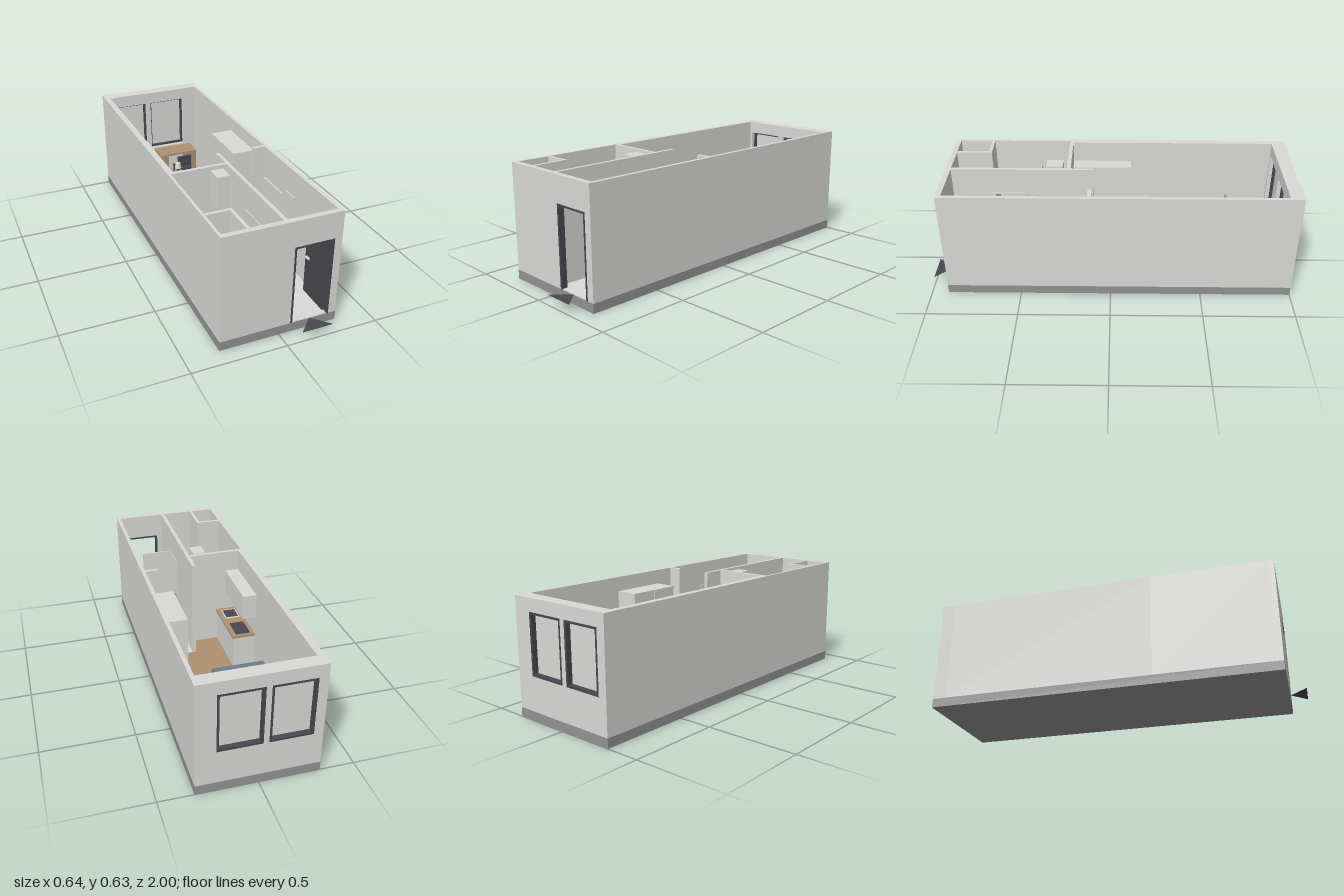
import * as THREE from 'three';

const mat = (name, color) => {
  const m = new THREE.MeshStandardMaterial({ color, side: THREE.DoubleSide });
  m.name = name;
  return m;
};

export function createModel() {
  const root = new THREE.Group();
  root.name = 'smallApartment';
  const white = mat('wallWhite', 0xd9d9d7);
  const grey = mat('concreteGrey', 0x929292);
  const dark = mat('anthracite', 0x48484e);
  const wood = mat('oakWood', 0xad9170);
  const blue = mat('blanketBlue', 0x6f7d8b);

  const add = (name, geo, m) => {
    const mesh = new THREE.Mesh(geo, m);
    mesh.name = name;
    root.add(mesh);
    return mesh;
  };
  // Box given by its limits on each axis
  const box = (name, m, x0, x1, y0, y1, z0, z1) => {
    const b = add(name, new THREE.BoxGeometry(x1 - x0, y1 - y0, z1 - z0), m);
    b.position.set((x0 + x1) / 2, (y0 + y1) / 2, (z0 + z1) / 2);
    return b;
  };
  const cyl = (name, m, r0, r1, h, x, y, z) => {
    const c = add(name, new THREE.CylinderGeometry(r0, r1, h, 20), m);
    c.position.set(x, y, z);
    return c;
  };
  // End wall with rectangular openings [x0, x1, y0, y1]
  const endWall = (name, z0, z1, openings) => {
    const rect = (P, x0, x1, y0, y1) => {
      const p = new P();
      p.moveTo(x0, y0).lineTo(x1, y0).lineTo(x1, y1).lineTo(x0, y1).closePath();
      return p;
    };
    const s = rect(THREE.Shape, -0.317, 0.317, 0.05, H);
    openings.forEach(o => s.holes.push(rect(THREE.Path, ...o)));
    const g = new THREE.ExtrudeGeometry(s, { depth: z1 - z0, bevelEnabled: false });
    add(name, g, white).position.z = z0;
  };
  // Rectangular frame; the bottom rail is optional
  const frame = (name, m, [x0, x1, y0, y1], z0, z1, t, sill) => {
    box(name + 'Jamb', m, x0, x0 + t, y0, y1, z0, z1);
    box(name + 'Jamb', m, x1 - t, x1, y0, y1, z0, z1);
    box(name + 'Head', m, x0 + t, x1 - t, y1 - t, y1, z0, z1);
    if (sill) box(name + 'Sill', m, x0 + t, x1 - t, y0, y0 + t, z0, z1);
  };
  const H = 0.63, F = 0.053; // wall top, floor level

  // Base slab and floor coverings
  box('baseSlab', grey, -0.318, 0.318, 0, 0.05, -1, 0.908);
  box('woodFloor', wood, -0.284, 0.297, 0.05, F, -0.928, 0.10);
  box('kitchenFloor', wood, -0.284, 0.01, 0.05, F, 0.10, 0.224);
  box('hallFloor', white, 0.01, 0.297, 0.05, F, 0.10, 0.904);
  box('bathroomFloor', grey, -0.303, 0.01, 0.05, F, 0.24, 0.88);

  // Outer walls
  const door = [0.062, 0.275, 0.05, 0.487];
  const windows = [[-0.268, -0.044, 0.235, 0.56], [-0.016, 0.213, 0.235, 0.56]];
  endWall('frontWall', 0.878, 0.907, [[0.062, 0.275, 0.051, 0.487]]);
  endWall('backWall', -1, -0.926, windows);
  box('rightLongWall', white, 0.296, 0.317, 0.05, H, -0.926, 0.878);
  box('leftLongWall', white, -0.317, -0.283, 0.05, H, -0.926, 0.243);
  box('bathroomOuterWall', white, -0.317, -0.302, 0.05, H, 0.243, 0.878);

  // Windows
  for (const w of windows) {
    frame('window', dark, w, -1.0, -0.95, 0.012, true);
    box('windowPane', white, w[0] + 0.01, w[1] - 0.01, w[2] + 0.01, w[3] - 0.01, -0.972, -0.966);
  }

  // Entrance door standing open, and entrance arrow
  frame('entranceDoor', dark, door, 0.876, 0.909, 0.01, false);
  box('entranceDoorLeaf', dark, 0.256, 0.265, F, 0.477, 0.69, 0.88);
  box('entranceDoorHandle', white, 0.243, 0.256, 0.267, 0.274, 0.705, 0.735);
  const tri = new THREE.Shape();
  tri.moveTo(0.167, -0.909).lineTo(0.08, -0.998).lineTo(0.252, -0.998).closePath();
  const arrow = add('entranceArrow', new THREE.ShapeGeometry(tri), dark);
  arrow.rotation.x = -Math.PI / 2;
  arrow.position.y = 0.053;

  // Inner partitions, with a doorway to the bathroom
  box('kitchenPartition', white, -0.283, 0.01, 0.05, H, 0.222, 0.243);
  box('hallPartition', white, 0.01, 0.03, 0.05, H, 0.10, 0.47);
  box('hallPartition', white, 0.01, 0.03, 0.05, H, 0.66, 0.878);
  box('doorwayHeader', white, 0.01, 0.03, 0.485, H, 0.47, 0.66);
  box('hallStubWall', white, 0.225, 0.296, 0.05, H, 0.10, 0.121);
  for (const z of [0.468, 0.652]) box('bathroomDoorJamb', white, 0.006, 0.034, F, 0.485, z, z + 0.01);
  box('bathroomDoorHead', white, 0.006, 0.034, 0.475, 0.485, 0.478, 0.652);
  box('bathroomDoorLeaf', white, 0.03, 0.204, F, 0.475, 0.644, 0.652);
  for (const z of [0.635, 0.652]) box('bathroomDoorHandle', white, 0.168, 0.192, 0.267, 0.273, z, z + 0.009);

  // Service shaft
  box('shaftSideWall', white, -0.178, -0.16, 0.05, H, 0.68, 0.878);
  box('shaftEndWall', white, -0.302, -0.178, 0.05, H, 0.68, 0.698);
  box('shaftFloor', dark, -0.302, -0.178, F, 0.06, 0.698, 0.878);

  // Hall furniture
  box('shoeCabinet', white, 0.232, 0.293, F, 0.267, 0.14, 0.343);
  box('coatRail', white, 0.286, 0.296, 0.44, 0.45, 0.14, 0.343);
  box('hallMirror', white, 0.290, 0.296, 0.20, 0.487, 0.38, 0.48);

  // Wardrobe with two doors
  box('wardrobe', white, 0.174, 0.296, F, 0.55, -0.33, -0.013);
  for (const z of [-0.33, -0.17]) {
    box('wardrobeDoor', white, 0.169, 0.174, 0.065, 0.55, z, z + 0.157);
  }
  for (const z of [-0.186, -0.162]) box('wardrobeHandle', dark, 0.165, 0.169, 0.27, 0.32, z, z + 0.004);

  // Bed
  box('headboard', wood, -0.283, 0.016, F, 0.28, -0.696, -0.682);
  box('bedFrame', wood, -0.281, 0.014, 0.07, 0.115, -0.682, -0.262);
  for (const x of [-0.275, -0.007]) for (const z of [-0.67, -0.285]) box('bedLeg', wood, x, x + 0.015, F, 0.07, z, z + 0.015);
  box('mattress', white, -0.279, 0.012, 0.115, 0.162, -0.682, -0.264);
  box('blanket', blue, -0.283, 0.016, 0.105, 0.168, -0.55, -0.259);
  for (const x of [-0.262, -0.119]) box('pillow', white, x, x + 0.117, 0.162, 0.182, -0.665, -0.605);

  // Bedside table and lamp
  box('bedsideTable', wood, 0.026, 0.103, F, 0.16, -0.685, -0.60);
  cyl('lampBase', dark, 0.012, 0.014, 0.006, 0.065, 0.163, -0.644);
  cyl('lampStem', dark, 0.003, 0.003, 0.04, 0.065, 0.184, -0.644);
  cyl('lampShade', white, 0.016, 0.022, 0.035, 0.065, 0.215, -0.644);

  // Desk and chair
  box('deskTop', wood, 0.003, 0.256, 0.215, 0.227, -0.926, -0.798);
  box('deskSide', wood, 0.005, 0.015, F, 0.215, -0.924, -0.802);
  box('deskDrawers', wood, 0.205, 0.254, F, 0.215, -0.924, -0.802);
  box('chairSeat', dark, 0.082, 0.178, 0.147, 0.16, -0.785, -0.69);
  box('chairBack', dark, 0.084, 0.176, 0.18, 0.25, -0.70, -0.69);
  for (const x of [0.084, 0.168]) for (const z of [-0.783, -0.70]) {
    box('chairLeg', dark, x, x + 0.008, F, z > -0.75 ? 0.20 : 0.147, z, z + 0.008);
  }

  box('rug', grey, 0.026, 0.24, F, 0.058, -0.555, -0.243);

  // Kitchenette
  box('kitchenBaseCabinets', white, -0.283, -0.158, F, 0.245, -0.108, 0.222);
  box('kitchenWorktop', wood, -0.283, -0.15, 0.245, 0.256, -0.112, 0.222);
  box('kitchenWallCabinets', white, -0.283, -0.205, 0.37, 0.51, -0.112, 0.222);
  box('hob', dark, -0.26, -0.177, 0.256, 0.26, -0.09, 0.033);
  box('kitchenSinkRim', white, -0.26, -0.174, 0.256, 0.259, 0.095, 0.195);
  box('kitchenSinkBowl', dark, -0.252, -0.181, 0.258, 0.261, 0.105, 0.185);

  // Shower
  box('showerTray', white, -0.302, -0.132, F, 0.07, 0.243, 0.413);
  box('showerScreen', white, -0.302, -0.215, 0.07, 0.48, 0.413, 0.418);
  cyl('showerRail', white, 0.003, 0.003, 0.24, -0.293, 0.36, 0.328);
  cyl('showerHead', white, 0.012, 0.012, 0.008, -0.287, 0.48, 0.328);

  // Water heater hung near the ceiling
  box('waterHeater', white, -0.093, -0.021, 0.42, 0.622, 0.268, 0.36);

  // Washbasin
  box('washbasin', white, -0.294, -0.215, 0.20, 0.245, 0.49, 0.60);
  box('washbasinCabinet', white, -0.302, -0.235, 0.10, 0.20, 0.50, 0.59);
  box('basinTapPost', white, -0.288, -0.282, 0.245, 0.272, 0.542, 0.548);
  box('basinTapSpout', white, -0.288, -0.26, 0.268, 0.273, 0.542, 0.548);

  // Toilet with a boxed-in cistern
  box('cisternCasing', white, -0.16, 0.01, F, 0.32, 0.847, 0.878);
  cyl('toiletBowl', white, 0.036, 0.024, 0.085, -0.075, 0.10, 0.775).scale.z = 1.35;
  cyl('toiletLid', white, 0.037, 0.037, 0.008, -0.075, 0.147, 0.775).scale.z = 1.35;
  box('toiletNeck', white, -0.099, -0.051, 0.07, 0.145, 0.80, 0.847);

  return root;
}
